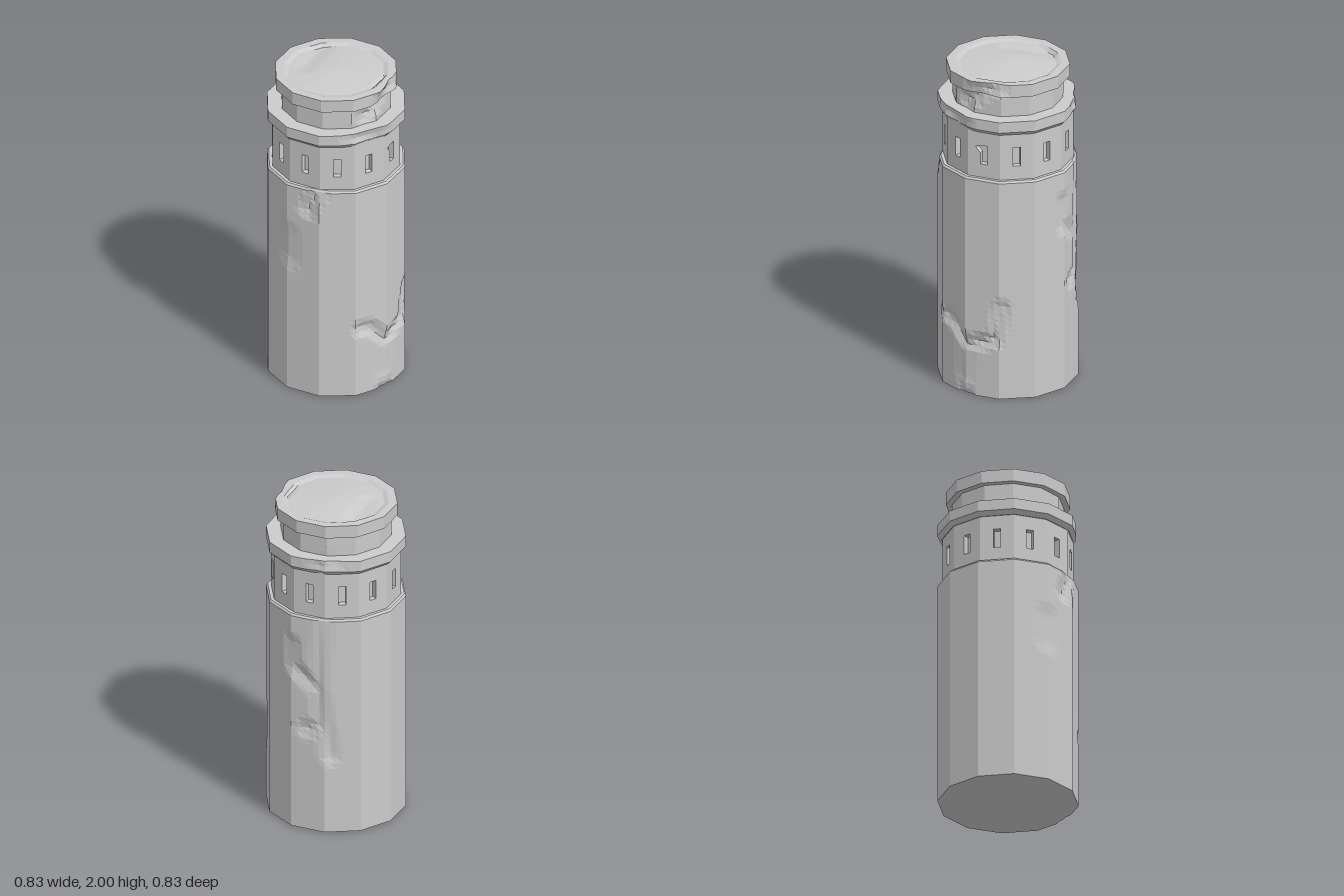
import * as THREE from 'three';

const SIDES = 12, STEP = Math.PI * 2 / SIDES;
const V = (x, y, z) => new THREE.Vector3(x, y, z);

// Damage: each crack is a path on the surface with a depth and a width
const cracks = [
  { d: 0.028, w: 0.06, pts: [V(-0.17, 0.44, 0.37), V(-0.1, 0.43, 0.39), V(0, 0.31, 0.41), V(0.18, 0.38, 0.37), V(0.22, 0.58, 0.35)] },
  { d: 0.012, w: 0.09, pts: [V(0, 0.31, 0.41), V(-0.02, 0.12, 0.41)] },
  { d: 0.025, w: 0.05, pts: [V(-0.03, 0, 0.41), V(0.02, 0, 0.41)] },
  { d: 0.022, w: 0.07, pts: [V(0.41, 1.2, 0), V(0.41, 1.05, 0), V(0.37, 0.92, -0.18), V(0.37, 0.7, -0.18), V(0.39, 0.65, -0.09)] },
  { d: 0.02, w: 0.07, pts: [V(0.36, 1.38, -0.2), V(0.37, 1.15, -0.19), V(0.37, 0.92, -0.18), V(0.34, 0.5, -0.23)] },
  { d: 0.025, w: 0.07, pts: [V(-0.36, 1.39, 0.2), V(-0.38, 1.25, 0.13)] },
  { d: 0.014, w: 0.1, pts: [V(-0.41, 1.05, 0), V(-0.41, 0.9, 0)] },
  { d: 0.03, w: 0.1, pts: [V(-0.2, 1.75, 0.36), V(-0.04, 1.72, 0.41)] },
  { d: 0.025, w: 0.1, pts: [V(0.33, 1.78, -0.25), V(0.37, 1.75, -0.18)] },
  { d: 0.035, w: 0.08, pts: [V(0.02, 1.92, 0.36), V(0.08, 1.93, 0.35), V(0.16, 1.98, 0.32)] },
  { d: 0.03, w: 0.07, pts: [V(0, 1.88, 0.32), V(-0.08, 1.83, 0.31)] },
  { d: 0.012, w: 0.06, pts: [V(0.05, 1.98, 0.31), V(0.16, 1.98, 0.28)] },
  { d: 0.012, w: 0.08, pts: [V(0.13, 1.98, -0.24), V(-0.1, 1.98, -0.16)] },
];

function carve(p) {
  const line = new THREE.Line3(), near = V(0, 0, 0);
  let depth = 0;
  for (const { d, w, pts } of cracks) {
    for (let i = 1; i < pts.length; i++) {
      line.set(pts[i - 1], pts[i]).closestPointToPoint(p, true, near);
      depth = Math.max(depth, d * (1 - near.distanceTo(p) / w));
    }
  }
  return depth;
}

// Splits long profile edges so that the damage has points to move
function dense(profile, step) {
  const out = [];
  profile.forEach(([r, y], i) => {
    if (i) {
      const [r0, y0] = profile[i - 1];
      const n = Math.max(1, Math.round(Math.hypot(r - r0, y - y0) / step));
      for (let k = 1; k < n; k++) out.push(new THREE.Vector2(r0 + (r - r0) * k / n, y0 + (y - y0) * k / n));
    }
    out.push(new THREE.Vector2(r, y));
  });
  return out;
}

// Twelve-sided turned solid with flat sides and worn patches
function facetedRing(name, profile, material, sub = 6, step = 0.035) {
  const geo = new THREE.LatheGeometry(dense(profile, step), SIDES * sub);
  const pos = geo.attributes.position, p = V(0, 0, 0);
  for (let i = 0; i < pos.count; i++) {
    p.fromBufferAttribute(pos, i);
    const a = Math.atan2(p.x, p.z);
    const off = a - (Math.floor(a / STEP + 1e-6) + 0.5) * STEP;
    const k = Math.cos(STEP / 2) / Math.cos(off);
    p.x *= k;
    p.z *= k;
    const depth = carve(p), r = Math.hypot(p.x, p.z);
    if (depth > 0 && r > 0.3) {
      p.x *= 1 - depth / r;
      p.z *= 1 - depth / r;
    } else if (depth > 0 && p.y > 1.9) p.y -= depth;
    pos.setXYZ(i, p.x, p.y, p.z);
  }
  const mesh = new THREE.Mesh(geo, material);
  mesh.name = name;
  return mesh;
}

// One wall panel with a slit window; the worn one has a broken corner
function windowPanel(radius, y0, y1, worn) {
  const h = radius * Math.sin(STEP / 2);
  const shape = new THREE.Shape([[-h, y0], [h, y0], [h, y1], [-h, y1]].map(p => new THREE.Vector2(...p)));
  const hole = [[-0.022, 1.48], [-0.022, 1.6], [0.022, 1.6], [0.022, 1.48]];
  if (worn) hole.splice(1, 1, [-0.022, 1.55], [-0.055, 1.59], [-0.02, 1.595]);
  shape.holes.push(new THREE.Path(hole.map(p => new THREE.Vector2(...p))));
  const depth = 0.035;
  const geo = new THREE.ExtrudeGeometry(shape, { depth, bevelEnabled: false });
  return geo.translate(0, 0, radius * Math.cos(STEP / 2) - depth);
}

export function createModel() {
  const model = new THREE.Group();
  model.name = 'tower';
  const stone = new THREE.MeshStandardMaterial({ color: 0xcccccc, flatShading: true });

  // Main shaft with its sloped shoulder
  model.add(facetedRing('shaft', [[0, 0], [0.415, 0], [0.415, 1.383], [0.405, 1.395], [0.33, 1.395]], stone));

  // Gallery of slit windows in front of a solid core
  const gallery = new THREE.Group();
  gallery.name = 'windowGallery';
  for (let i = 0; i < SIDES; i++) {
    const panel = new THREE.Mesh(windowPanel(0.386, 1.39, 1.7, i === 0), stone);
    panel.name = 'windowPanel';
    panel.rotation.y = (i + 0.5) * STEP;
    gallery.add(panel);
  }
  gallery.add(facetedRing('galleryCore', [[0.35, 1.39], [0.35, 1.7]], stone, 1, 1));
  model.add(gallery);

  // Projecting cornice
  model.add(facetedRing('cornice', [[0.34, 1.685], [0.39, 1.685], [0.415, 1.71], [0.415, 1.777], [0.3, 1.777]], stone));

  // Narrow neck
  model.add(facetedRing('neck', [[0.328, 1.77], [0.328, 1.92]], stone));

  // Cap with a shallow, slightly domed inset
  model.add(facetedRing('cap', [
    [0.3, 1.912], [0.365, 1.912], [0.365, 1.99], [0.315, 1.99], [0.288, 1.98], [0.2, 1.987], [0, 2],
  ], stone));

  return model;
}
